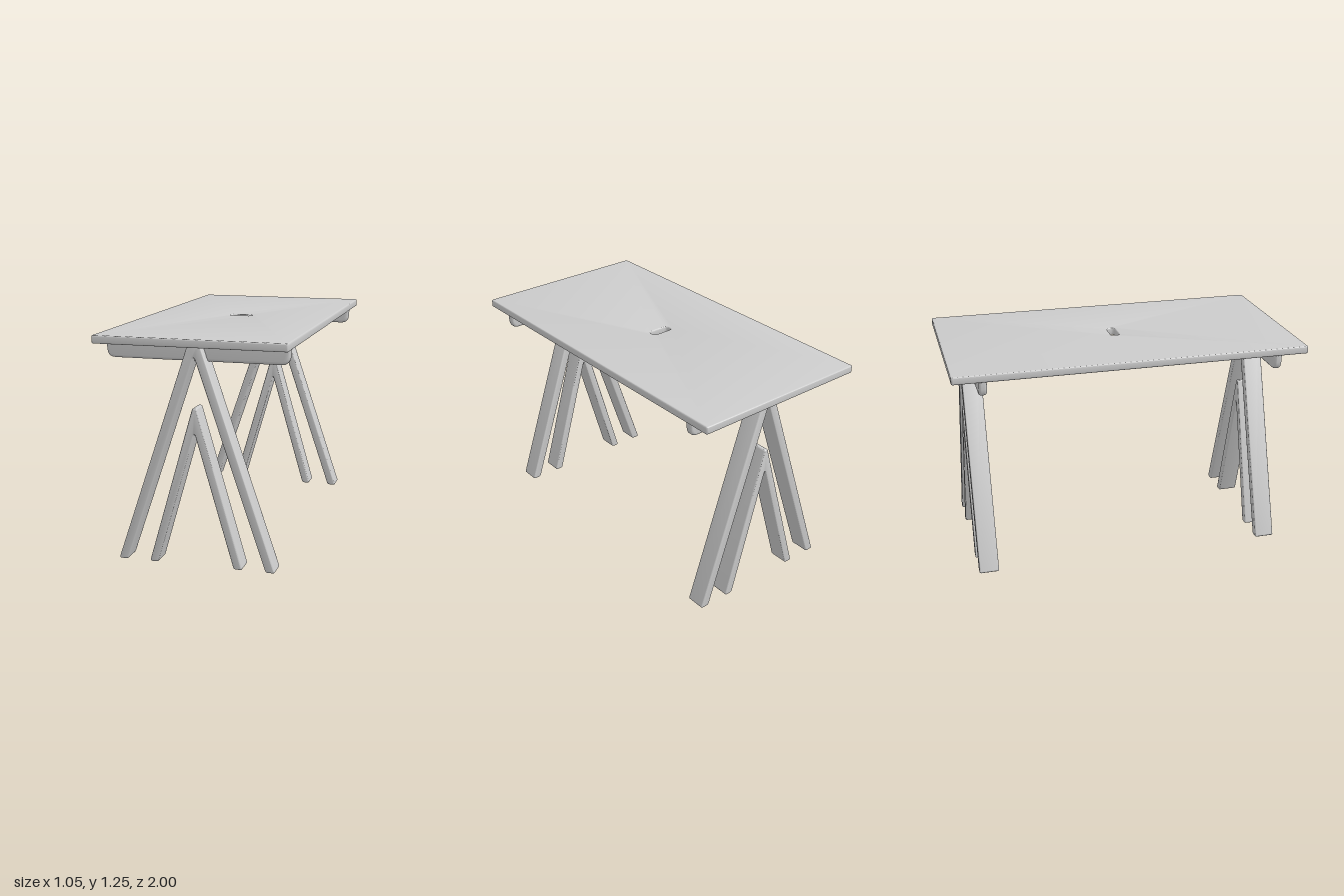
import * as THREE from 'three';
import { toCreasedNormals } from 'three/addons/utils/BufferGeometryUtils.js';

const material = new THREE.MeshStandardMaterial({ color: 0xcccccc });

// Closed outline through [x, y, radius] corners, each rounded by its radius
function rounded(corners, Type = THREE.Shape) {
  const path = new Type();
  const pts = corners.map(([x, y]) => new THREE.Vector2(x, y));
  const n = pts.length;
  pts.forEach((p, i) => {
    const toward = (q) => p.clone().add(q.clone().sub(p).setLength(corners[i][2]));
    const a = toward(pts[(i + n - 1) % n]);
    const b = toward(pts[(i + 1) % n]);
    if (i === 0) path.moveTo(a.x, a.y);
    else path.lineTo(a.x, a.y);
    path.quadraticCurveTo(p.x, p.y, b.x, b.y);
  });
  path.closePath();
  return path;
}

function rectangle(x, y, r, Type) {
  return rounded([[-x, -y, r], [x, -y, r], [x, y, r], [-x, y, r]], Type);
}

// Solid of full thickness "depth", centred on z, with softened edges
function slab(shape, depth, bevel) {
  const geometry = new THREE.ExtrudeGeometry(shape, {
    depth: depth - 2 * bevel,
    bevelThickness: bevel,
    bevelSize: bevel,
    bevelOffset: -bevel,
    bevelSegments: 4,
    curveSegments: 5,
  });
  geometry.translate(0, 0, bevel - depth / 2);
  return toCreasedNormals(geometry, 0.5);
}

// Upside-down V outline: foot from outer to inner x, flat tip, inner crotch
function legShape({ outer, inner, tip, top, crotch }) {
  return rounded([
    [-outer, 0, 0.014], [-inner, 0, 0.014],
    [0, crotch, 0.018],
    [inner, 0, 0.014], [outer, 0, 0.014],
    [tip, top, 0.009], [-tip, top, 0.009],
  ]);
}

export function createModel() {
  const model = new THREE.Group();
  model.name = 'trestleTable';

  function add(parent, name, geometry) {
    const mesh = new THREE.Mesh(geometry, material);
    mesh.name = name;
    parent.add(mesh);
    return mesh;
  }

  // Table top with a cable slot
  const topShape = rectangle(0.525, 1, 0.012);
  topShape.holes.push(rectangle(0.064, 0.024, 0.018, THREE.Path));
  const top = add(model, 'tableTop', slab(topShape, 0.044, 0.008));
  top.rotation.x = -Math.PI / 2;
  top.position.y = 1.225;

  // Trestle parts; beam and outer legs run slightly into the table top
  const beamShape = rounded([
    [-0.498, 1.11, 0.045], [0.498, 1.11, 0.045],
    [0.505, 1.222, 0.004], [-0.505, 1.222, 0.004],
  ]);
  const beam = slab(beamShape, 0.046, 0.016);
  const outerLegs = slab(
    legShape({ outer: 0.442, inner: 0.389, tip: 0.031, top: 1.212, crotch: 1.143 }), 0.113, 0.008);
  const innerLegs = slab(
    legShape({ outer: 0.262, inner: 0.213, tip: 0.011, top: 0.868, crotch: 0.735 }), 0.113, 0.008);

  // One trestle near each end
  for (const [name, side] of [['frontTrestle', 1], ['backTrestle', -1]]) {
    const trestle = new THREE.Group();
    trestle.name = name;
    trestle.position.z = side * 0.845;
    add(trestle, 'crossBeam', beam).position.z = -side * 0.012;
    add(trestle, 'outerLegs', outerLegs);
    add(trestle, 'innerLegs', innerLegs);
    model.add(trestle);
  }

  return model;
}
